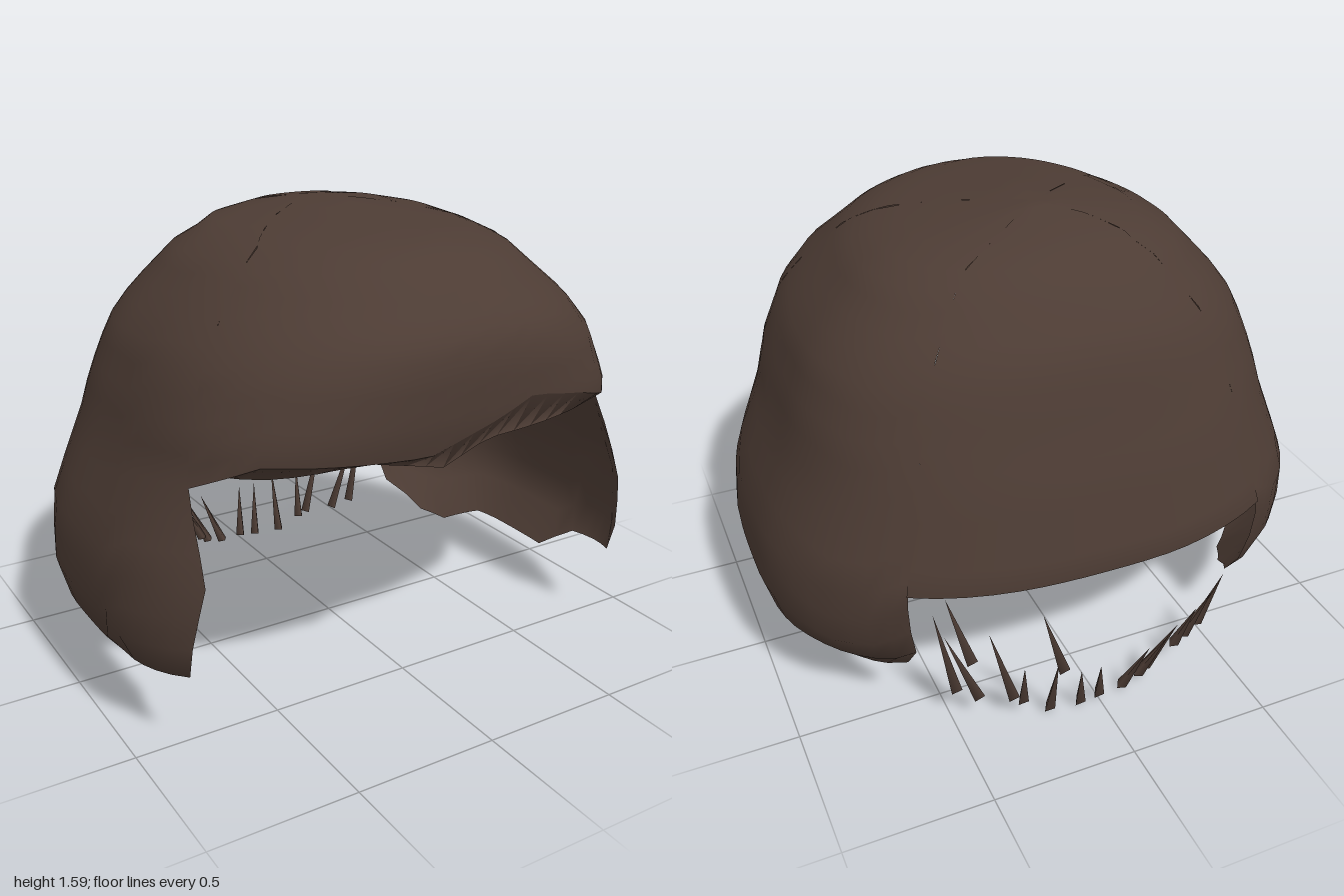
import * as THREE from 'three';

const material = new THREE.MeshStandardMaterial({ color: 0x4d3c34, side: THREE.DoubleSide });
const lerp = THREE.MathUtils.lerp;

// Piecewise-linear lookup: rows of [key, v1, v2, ...] with rising keys
function look(table, k, c = 1) {
  if (k <= table[0][0]) return table[0][c];
  for (let i = 1; i < table.length; i++) {
    const a = table[i - 1], b = table[i];
    if (k <= b[0]) return lerp(a[c], b[c], (k - a[0]) / (b[0] - a[0]));
  }
  return table[table.length - 1][c];
}

// Hair volume: height, half width, reach to the front, reach to the back
const LEVELS = [
  [0.08, 0.80, 0.64, 0.50], [0.14, 0.86, 0.72, 0.57], [0.30, 0.99, 0.81, 0.69],
  [0.42, 1.00, 0.83, 0.73], [0.60, 0.98, 0.84, 0.76], [0.90, 0.86, 0.82, 0.69],
  [1.02, 0.83, 0.85, 0.65], [1.20, 0.765, 0.86, 0.60], [1.30, 0.69, 0.84, 0.56],
  [1.46, 0.54, 0.68, 0.42], [1.53, 0.40, 0.56, 0.31], [1.57, 0.22, 0.38, 0.17], [1.59, 0, 0, 0],
];

// Point on the volume; angle in degrees from the front towards +x
function hairPoint(deg, y, scale = 1) {
  const a = THREE.MathUtils.degToRad(deg), s = Math.sin(a), c = Math.cos(a);
  const w = Math.max(look(LEVELS, y), 1e-4);
  const d = Math.max(look(LEVELS, y, c > 0 ? 2 : 3), 1e-4);
  const low = THREE.MathUtils.clamp((1.5 - y) / 0.5, 0, 1);
  const p = lerp(2.1, lerp(2.5, 3.2, THREE.MathUtils.smoothstep(c, -0.3, 0.3)), low);
  const r = scale * Math.pow(Math.pow(Math.abs(s) / w, p) + Math.pow(Math.abs(c) / d, p), -1 / p);
  const crown = THREE.MathUtils.clamp((y - 1.5) / 0.09, 0, 1);
  return new THREE.Vector3(r * s - 0.04 * crown, y, r * c - 0.06 * crown);
}

function hairNormal(deg, y) {
  if (y > 1.585) return new THREE.Vector3(0, 1, 0);
  const across = hairPoint(deg + 4, y).sub(hairPoint(deg - 4, y));
  const up = hairPoint(deg, Math.min(y + 0.05, 1.589)).sub(hairPoint(deg, y - 0.05));
  return across.cross(up).normalize();
}

// Mesh over a grid of points; point(u, j) with u in 0..1 and row number j
function gridMesh(name, cols, rows, point, normal) {
  const pos = [], nor = [], index = [];
  for (let i = 0; i <= cols; i++) {
    for (let j = 0; j <= rows; j++) {
      pos.push(...point(i / cols, j).toArray());
      if (normal) nor.push(...normal(i / cols, j).toArray());
      if (i < cols && j < rows) {
        const a = i * (rows + 1) + j, b = a + rows + 1;
        index.push(a, a + 1, b, b, a + 1, b + 1);
      }
    }
  }
  const g = new THREE.BufferGeometry();
  g.setAttribute('position', new THREE.Float32BufferAttribute(pos, 3));
  g.setIndex(index);
  if (normal) g.setAttribute('normal', new THREE.Float32BufferAttribute(nor, 3));
  else g.computeVertexNormals();
  const mesh = new THREE.Mesh(g, material);
  mesh.name = name;
  return mesh;
}

// Sheet of hair from the crown down to a hem
function sheet(name, cols, angle, hem) {
  const rows = 20;
  const height = (u, j) => 1.59 - (1.59 - hem(u)) * Math.pow(j / rows, 1.7);
  return gridMesh(name, cols, rows,
    (u, j) => hairPoint(angle(u, height(u, j)), height(u, j)),
    (u, j) => hairNormal(angle(u, height(u, j)), height(u, j)));
}

// Underside of a sheet: from its hem inwards and up the inside
function lining(name, cols, angle, hem, lip, top, scale) {
  return gridMesh(name, cols, 2, (u, j) => {
    const a = angle(u);
    if (j === 0) return hairPoint(a, hem(a));
    return hairPoint(a, j === 1 ? lip(a) : top, scale);
  });
}

// Thin lock, pointed at the top
function lock(name, top, bottom, radius) {
  const dir = top.clone().sub(bottom);
  const mesh = new THREE.Mesh(new THREE.ConeGeometry(radius, dir.length(), 3), material);
  mesh.position.copy(top).add(bottom).multiplyScalar(0.5);
  mesh.quaternion.setFromUnitVectors(new THREE.Vector3(0, 1, 0), dir.normalize());
  mesh.name = name;
  return mesh;
}

// Hems: angle (or fraction along the side) and height
const FRINGE_HEM = [[-57, 0.87], [-42, 0.97], [-29, 0.96], [-10, 0.94], [7, 1.03], [15, 1.08], [30, 1.03], [42, 0.97], [57, 0.92]];
const FRINGE_LIP = [[-57, 0.9], [-42, 0.91], [-24, 0.94], [-4, 0.87], [7, 0.94], [30, 0.95], [57, 0.93]];
const BACK_HEM = [[135, 0.6], [160, 0.59], [200, 0.58], [225, 0.6]];
const BACK_LIP = [[135, 0.6], [150, 0.62], [172, 0.67], [185, 0.63], [197, 0.66], [212, 0.61], [225, 0.66]];
const SIDE_HEM = [[0, 0.29], [0.2, 0.24], [0.3, 0.15], [0.65, 0.15], [0.8, 0.10], [0.9, 0.12], [1, 0.22]];
const SIDE_FRONT = [[0.29, 55], [0.62, 51], [0.9, 57]];
const SIDE_BACK = [[0.1, 124], [0.3, 135]];

// Loose locks at the nape: top x, top y, bottom x, bottom y
const NAPE = [
  [-0.51, 0.34, -0.44, 0.11], [-0.45, 0.30, -0.37, 0.10], [-0.37, 0.28, -0.32, 0.09], [-0.28, 0.26, -0.19, 0.06],
  [-0.24, 0.23, -0.16, 0.04], [-0.16, 0.22, -0.09, 0.02], [0.03, 0.22, 0, 0.02], [0.10, 0.22, 0.07, 0.01],
  [0.18, 0.27, 0.18, 0.01], [0.29, 0.27, 0.27, 0.06], [0.40, 0.43, 0.30, 0.08], [0.53, 0.41, 0.41, 0.09],
  [0.56, 0.50, 0.48, 0.12],
];

export function createModel() {
  const hair = new THREE.Group();
  hair.name = 'hair';

  // Fringe
  const fringeAngle = u => lerp(-57, 57, u);
  const fringeHem = a => look(FRINGE_HEM, a);
  hair.add(sheet('fringe', 24, fringeAngle, u => fringeHem(fringeAngle(u))));
  hair.add(lining('fringeUnderside', 24, fringeAngle, fringeHem, a => look(FRINGE_LIP, a), 1.2, 0.95));

  // Back of the head
  const backAngle = u => lerp(135, 225, u);
  const backHem = a => look(BACK_HEM, a);
  hair.add(sheet('back', 16, backAngle, u => backHem(backAngle(u))));
  hair.add(lining('backUnderside', 16, backAngle, backHem, a => look(BACK_LIP, a), 1.0, 0.88));

  // Side curtains
  const sideAngle = (u, y) => lerp(look(SIDE_FRONT, y), look(SIDE_BACK, y), u);
  hair.add(sheet('leftCurtain', 20, sideAngle, u => look(SIDE_HEM, u)));
  hair.add(sheet('rightCurtain', 20, (u, y) => -sideAngle(1 - u, y), u => look(SIDE_HEM, 1 - u)));

  // Loose locks at the nape, on an arc
  const arc = x => -0.73 + 0.5 * x * x;
  for (const [x0, y0, x1, y1] of NAPE) {
    hair.add(lock('napeLock', new THREE.Vector3(x0, y0, arc(x0) - 0.07), new THREE.Vector3(x1, y1, arc(x1)), 0.022));
  }
  hair.add(lock('napeLock', new THREE.Vector3(0.27, 0.57, -0.85), new THREE.Vector3(0.18, 0.28, -0.82), 0.022));
  hair.add(lock('napeLock', new THREE.Vector3(0.52, 0.56, -0.65), new THREE.Vector3(0.45, 0.30, -0.69), 0.022));

  // Small locks inside the temples
  for (const side of [-1, 1]) {
    for (let i = 0; i < 3; i++) {
      hair.add(lock('templeLock', new THREE.Vector3(side * (0.69 + 0.03 * i), 0.95, 0.42 - 0.08 * i),
        new THREE.Vector3(side * (0.73 + 0.02 * i), 0.84 - 0.07 * i, 0.4 - 0.08 * i), 0.02));
    }
  }
  return hair;
}
